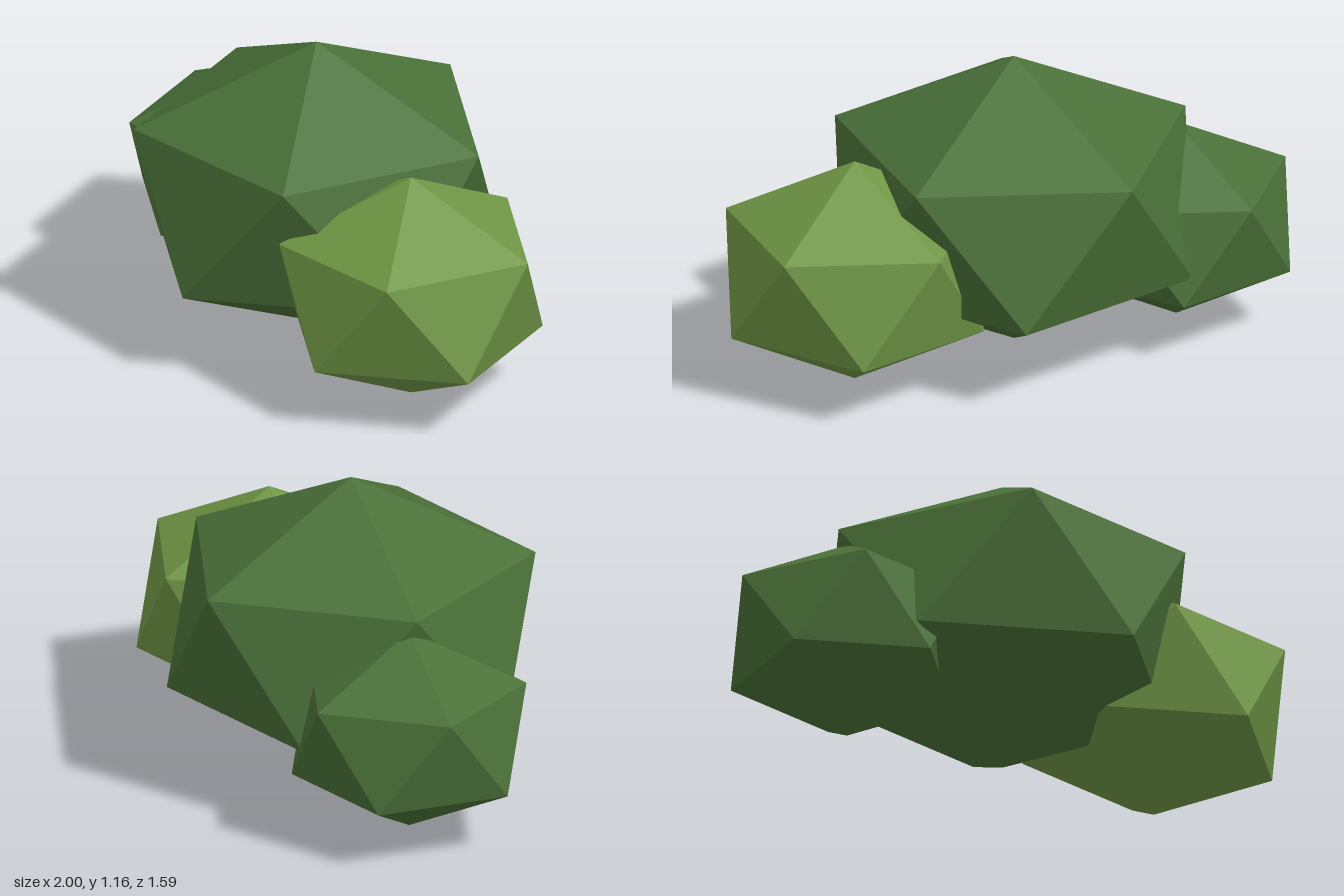
import * as THREE from 'three';

const GOLDEN = (1 + Math.sqrt(5)) / 2;

export function createModel() {
  const group = new THREE.Group();
  group.name = 'bush';

  const darkLeaf = new THREE.MeshStandardMaterial({ color: 0x4a7038, flatShading: true });
  darkLeaf.name = 'darkLeaf';
  const lightLeaf = new THREE.MeshStandardMaterial({ color: 0x6f9645, flatShading: true });
  lightLeaf.name = 'lightLeaf';

  // One faceted clump: an icosahedron standing on a corner, squashed in height
  function addClump(name, material, radius, halfHeight, x, y, z) {
    const geometry = new THREE.IcosahedronGeometry(radius, 0);
    geometry.rotateZ(-Math.atan(1 / GOLDEN));
    geometry.scale(1, halfHeight / radius, 1);
    const mesh = new THREE.Mesh(geometry, material);
    mesh.name = name;
    mesh.position.set(x, y, z);
    group.add(mesh);
  }

  addClump('mainClump', darkLeaf, 0.757, 0.567, -0.065, 0.591, 0);
  addClump('frontLeftClump', lightLeaf, 0.545, 0.436, 0.508, 0.438, 0.33);
  addClump('backRightClump', darkLeaf, 0.482, 0.385, -0.569, 0.41, -0.386);

  return group;
}
